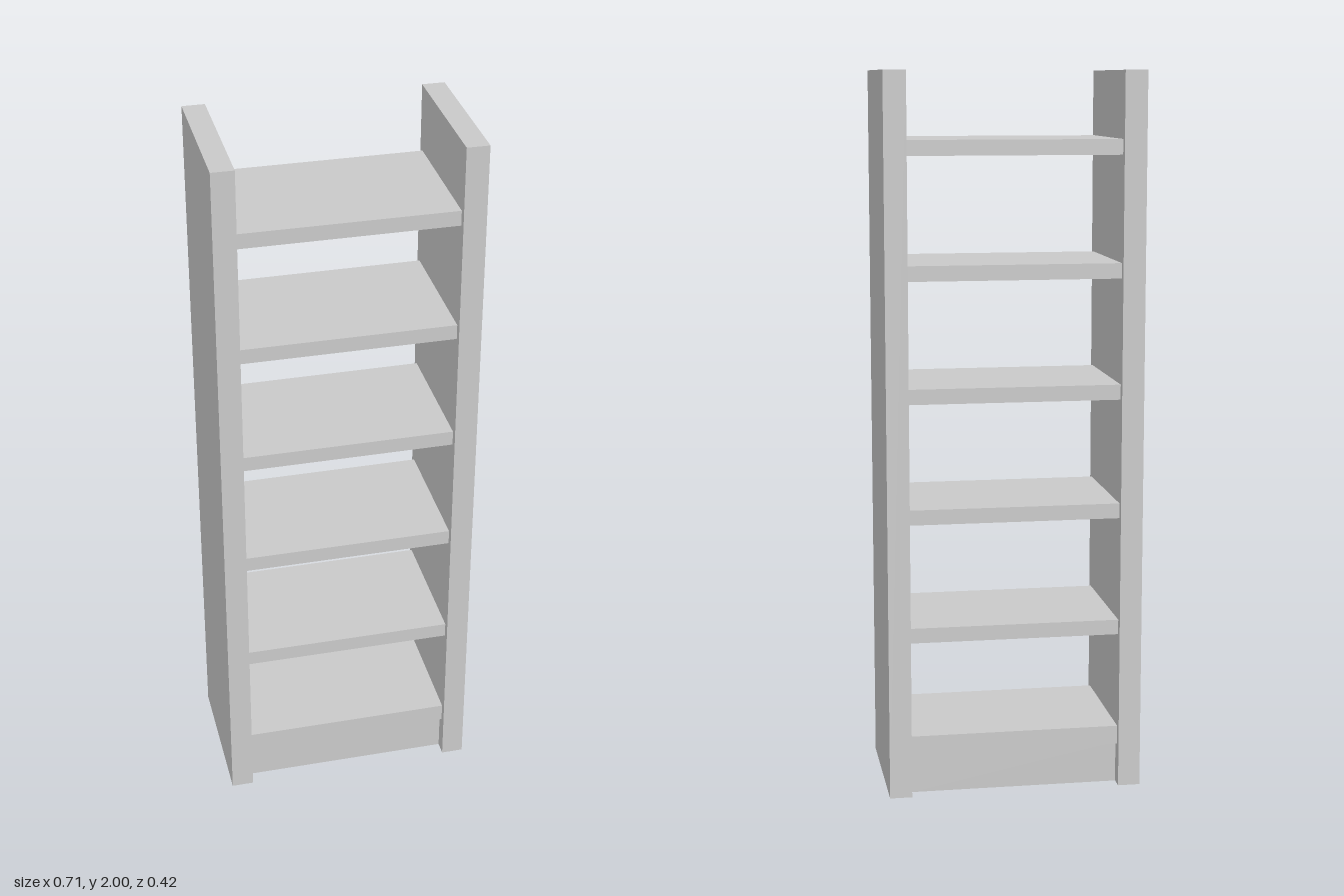
import * as THREE from 'three';

export function createModel() {
  const group = new THREE.Group();
  const material = new THREE.MeshStandardMaterial({ color: 0xcccccc });

  // Box centred on x and z offset, spanning bottom to top in y
  const addBoard = (name, width, bottom, top, depth, x = 0) => {
    const mesh = new THREE.Mesh(new THREE.BoxGeometry(width, top - bottom, depth), material);
    mesh.position.set(x, (bottom + top) / 2, 0);
    mesh.name = name;
    group.add(mesh);
  };

  const innerWidth = 0.588;
  const panelWidth = 0.062;
  const panelX = (innerWidth + panelWidth) / 2;

  // Upright side panels
  addBoard('leftPanel', panelWidth, 0, 2, 0.42, panelX);
  addBoard('rightPanel', panelWidth, 0, 2, 0.42, -panelX);

  // Recessed plinth and the thicker bottom shelf on it
  addBoard('plinth', innerWidth, 0, 0.117, 0.34);
  addBoard('bottomShelf', innerWidth, 0.117, 0.17, 0.38);

  // Evenly spaced shelves
  for (let i = 0; i < 5; i++) {
    const top = 0.481 + i * 0.334;
    addBoard(`shelf${i + 1}`, innerWidth, top - 0.042, top, 0.38);
  }

  return group;
}
